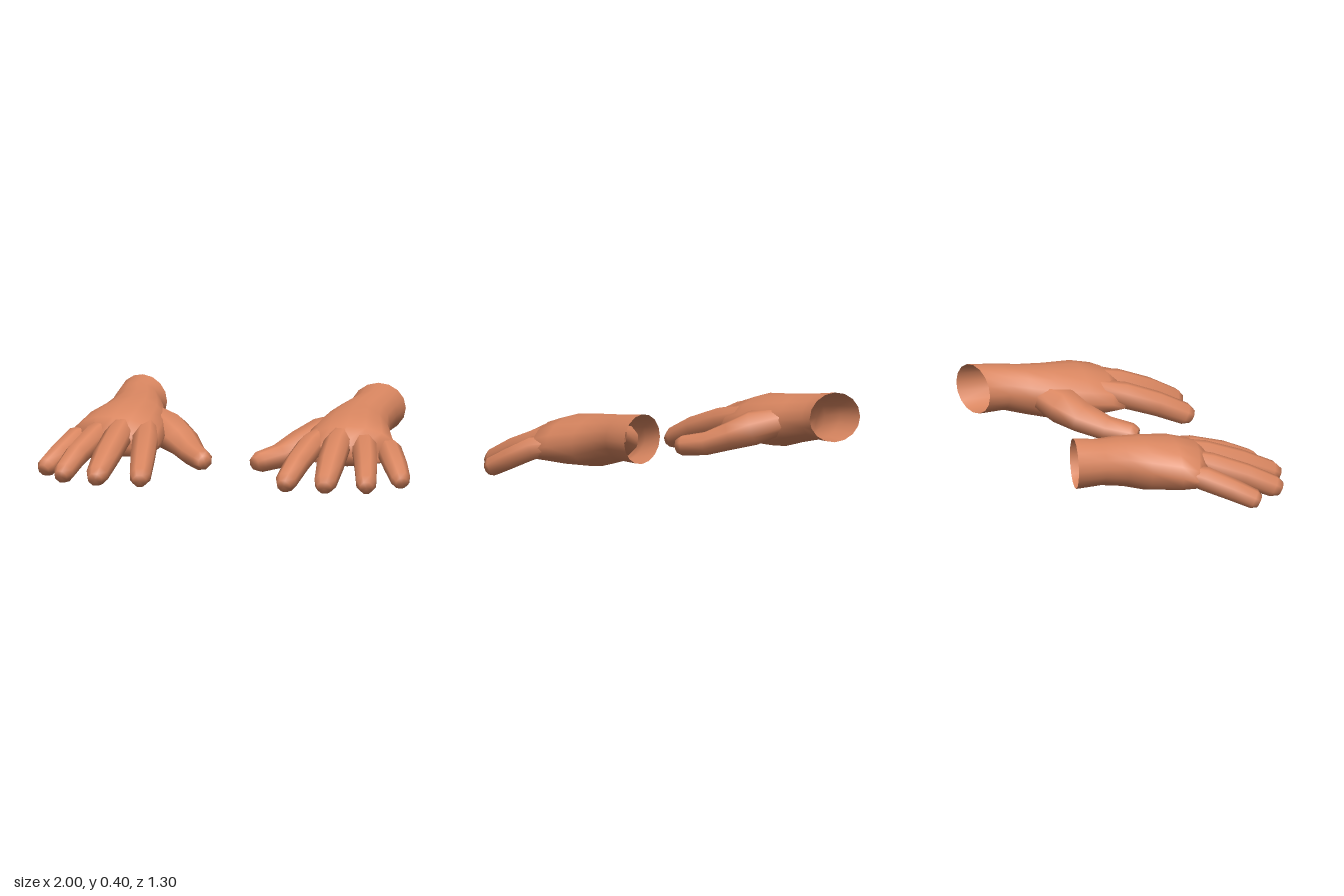
import * as THREE from 'three';

const skin = new THREE.MeshStandardMaterial({ color: 0xd98660, side: THREE.DoubleSide });
skin.name = 'skin';

// Skin a list of equal-length rings; the far end is closed with a fan
function loft(rings, name) {
  const n = rings[0].length, pos = [], index = [];
  rings.forEach(r => r.forEach(p => pos.push(p.x, Math.max(0, p.y), p.z)));
  for (let i = 0; i < rings.length - 1; i++) {
    for (let j = 0; j < n; j++) {
      const a = i * n + j, b = i * n + (j + 1) % n;
      index.push(a, b, b + n, a, b + n, a + n);
    }
  }
  const last = rings[rings.length - 1], base = (rings.length - 1) * n;
  const c = new THREE.Vector3();
  last.forEach(p => c.addScaledVector(p, 1 / n));
  pos.push(c.x, c.y, c.z);
  for (let j = 0; j < n; j++) index.push(rings.length * n, base + j, base + (j + 1) % n);
  const g = new THREE.BufferGeometry();
  g.setAttribute('position', new THREE.Float32BufferAttribute(pos, 3));
  g.setIndex(index);
  g.computeVertexNormals();
  const mesh = new THREE.Mesh(g, skin);
  mesh.name = name;
  return mesh;
}

// Palm heights per section: top, side edge, underside, forward bow, underside roundness
const heights = [
  [0.405, 0.27, 0.14, 0, 1], [0.385, 0.26, 0.14, 0, 1], [0.37, 0.24, 0.11, 0, 0.9],
  [0.355, 0.21, 0.075, 0, 0.75], [0.335, 0.18, 0.07, 0.02, 0.7], [0.295, 0.16, 0.08, 0.055, 0.7],
  [0.21, 0.14, 0.1, 0.09, 0.8],
];

// Each section runs from its -x edge to its +x edge: [x, z, x, z]
function palm(sections) {
  const n = 16;
  return loft(sections.map(([x0, z0, x1, z1], i) => {
    const [top, mid, bottom, bow, round] = heights[i];
    return Array.from({ length: n }, (_, j) => {
      const a = j / n * Math.PI * 2, t = (1 + Math.cos(a)) / 2, s = Math.sin(a);
      return new THREE.Vector3(
        x0 + (x1 - x0) * t,
        s > 0 ? mid + s * (top - mid) : mid - Math.pow(-s, round) * (mid - bottom),
        z0 + (z1 - z0) * t + bow * Math.sin(Math.PI * t));
    });
  }), 'palmAndWrist');
}

// Points are [x, y, z, half width, half height]; the tip is rounded off
function finger(points, name) {
  const n = 8, end = points[points.length - 1], before = points[points.length - 2];
  const shoulder = end.map((v, k) => k < 3 ? before[k] + (v - before[k]) * 0.8 : v);
  const tip = end.map((v, k) => k < 3 ? v : v * 0.66);
  const path = [...points.slice(0, -1), shoulder, tip];
  const at = i => new THREE.Vector3(...path[i].slice(0, 3));
  return loft(path.map((p, i) => {
    const d = at(Math.min(i + 1, path.length - 1)).sub(at(Math.max(i - 1, 0))).normalize();
    const side = new THREE.Vector3(0, 1, 0).cross(d).normalize();
    const up = d.clone().cross(side);
    return Array.from({ length: n }, (_, j) => {
      const a = (j + 0.5) / n * Math.PI * 2;
      return at(i).addScaledVector(side, Math.cos(a) * p[3] * 1.06)
        .addScaledVector(up, Math.sin(a) * p[4] * 1.06);
    });
  }), name);
}

// Shared finger thickness, root to tip: height of centre, half width, half height
const shapes = {
  littleFinger: [[0.2, 0.035, 0.035], [0.16, 0.065, 0.06], [0.1, 0.06, 0.055], [0.033, 0.05, 0.05]],
  ringFinger: [[0.245, 0.045, 0.045], [0.185, 0.065, 0.066], [0.12, 0.06, 0.062], [0.033, 0.053, 0.055]],
  middleFinger: [[0.265, 0.05, 0.05], [0.2, 0.07, 0.07], [0.13, 0.07, 0.065], [0.037, 0.057, 0.056]],
  indexFinger: [[0.24, 0.045, 0.045], [0.185, 0.067, 0.066], [0.12, 0.063, 0.062], [0.033, 0.055, 0.055]],
  thumb: [[0.25, 0.07, 0.06], [0.185, 0.117, 0.088], [0.143, 0.097, 0.072], [0.096, 0.068, 0.06], [0.075, 0.055, 0.052]],
};

function hand(name, sections, paths) {
  const g = new THREE.Group();
  g.name = name;
  g.add(palm(sections));
  for (const [part, path] of Object.entries(paths)) {
    g.add(finger(path.map(([x, z], i) => {
      const [y, w, h] = shapes[part][i];
      return [x, y, z, w, h];
    }), part));
  }
  return g;
}

export function createModel() {
  const model = new THREE.Group();
  model.name = 'pairOfHands';
  model.add(hand('rightHand', [
    [-0.81, -0.57, -0.53, -0.51], [-0.795, -0.4, -0.535, -0.42], [-0.785, -0.27, -0.48, -0.29],
    [-0.815, -0.15, -0.43, -0.15], [-0.87, 0, -0.4, 0.01], [-0.895, 0.08, -0.395, 0.12],
    [-0.87, 0.12, -0.4, 0.19],
  ], {
    littleFinger: [[-0.74, -0.05], [-0.855, 0.13], [-0.907, 0.26], [-0.957, 0.395]],
    ringFinger: [[-0.69, 0.02], [-0.735, 0.2], [-0.78, 0.38], [-0.815, 0.57]],
    middleFinger: [[-0.6, 0.02], [-0.6, 0.22], [-0.605, 0.42], [-0.61, 0.637]],
    indexFinger: [[-0.5, 0], [-0.455, 0.2], [-0.415, 0.4], [-0.378, 0.595]],
    thumb: [[-0.6, -0.28], [-0.425, -0.13], [-0.33, -0.06], [-0.24, 0.04], [-0.14, 0.165]],
  }));
  model.add(hand('leftHand', [
    [0.455, -0.57, 0.735, -0.65], [0.468, -0.45, 0.735, -0.47], [0.43, -0.34, 0.735, -0.34],
    [0.39, -0.2, 0.77, -0.2], [0.37, -0.03, 0.835, -0.05], [0.375, 0.1, 0.875, 0.03],
    [0.385, 0.17, 0.855, 0.08],
  ], {
    littleFinger: [[0.7, -0.1], [0.84, 0.06], [0.905, 0.17], [0.972, 0.292]],
    ringFinger: [[0.66, -0.03], [0.725, 0.14], [0.78, 0.31], [0.832, 0.49]],
    middleFinger: [[0.585, -0.02], [0.59, 0.2], [0.605, 0.38], [0.622, 0.567]],
    indexFinger: [[0.48, -0.02], [0.44, 0.18], [0.415, 0.36], [0.395, 0.547]],
    thumb: [[0.58, -0.32], [0.405, -0.18], [0.305, -0.11], [0.22, 0], [0.122, 0.135]],
  }));
  return model;
}
